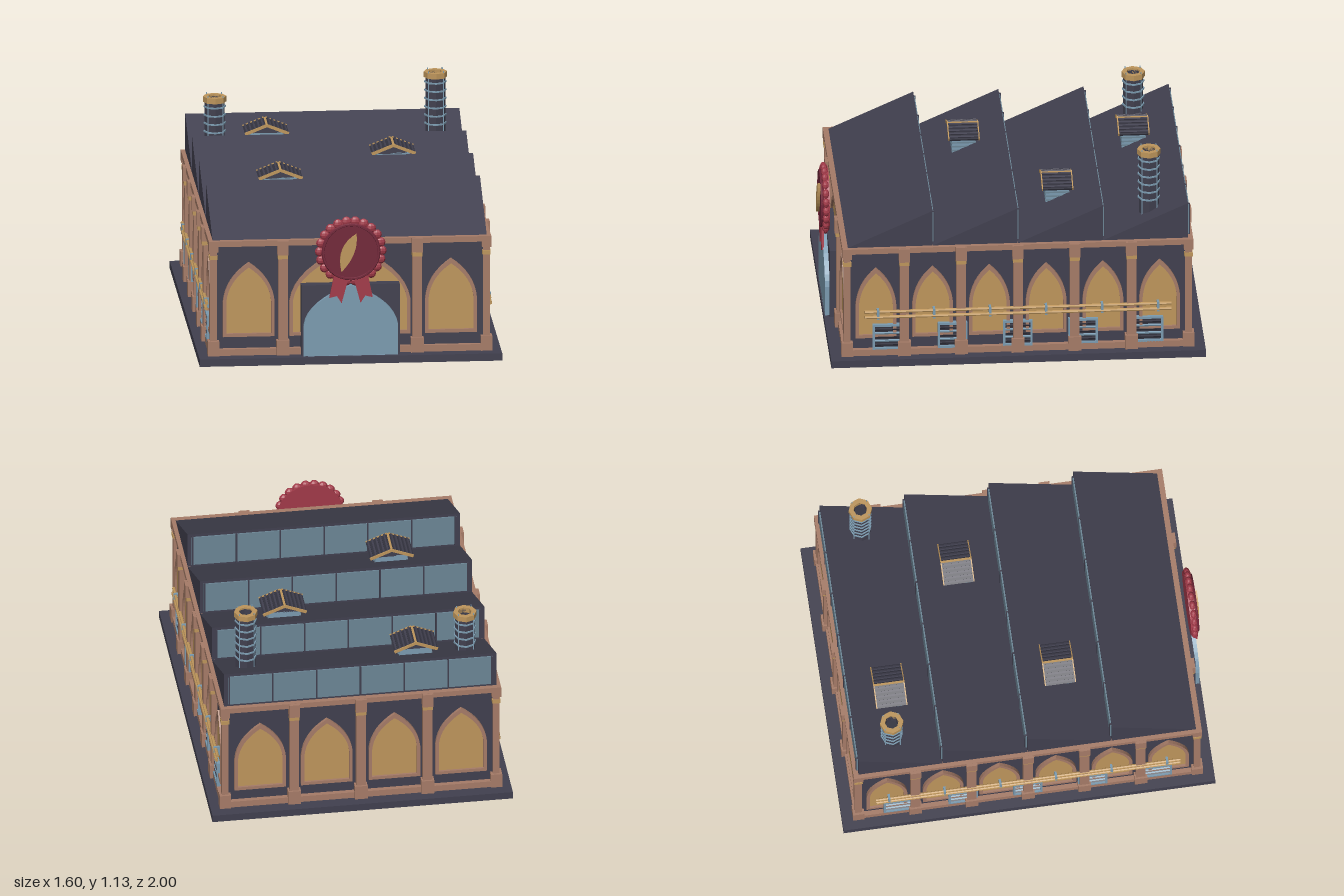
import * as THREE from 'three';

const mat = (name, color, side = THREE.FrontSide) => {
  const m = new THREE.MeshStandardMaterial({ color, side, flatShading: true });
  m.name = name;
  return m;
};

export function createModel() {
  const dark = mat('slate', 0x41404f), trim = mat('brownstone', 0xa67c68);
  const gold = mat('gold', 0xbe965c, THREE.DoubleSide), brown = mat('doorBrown', 0x6a4e3b);
  const blue = mat('blueMetal', 0x7b9bb0), glass = mat('skylightGlass', 0x6c8696);
  const red = mat('ribbonRed', 0xa23a49), wine = mat('wine', 0x722639);
  const black = mat('darkMetal', 0x32323e, THREE.DoubleSide);

  const root = new THREE.Group();
  const add = (parent, name, geo, material, x = 0, y = 0, z = 0) => {
    const m = new THREE.Mesh(geo, material);
    m.name = name;
    m.position.set(x, y, z);
    parent.add(m);
    return m;
  };
  const group = (parent, name) => {
    const g = new THREE.Group();
    g.name = name;
    parent.add(g);
    return g;
  };
  // box given by its size and centre
  const box = (p, name, m, w, h, d, x, y, z) => add(p, name, new THREE.BoxGeometry(w, h, d), m, x, y, z);
  const extrude = (shape, depth) =>
    new THREE.ExtrudeGeometry(shape, { depth, bevelEnabled: false, curveSegments: 8 });

  // pointed arch outline: half width, sill, spring line, apex
  const arch = (hw, y0, ys, y1, Type = THREE.Shape) => {
    const s = new Type();
    s.moveTo(-hw, y0);
    s.lineTo(hw, y0);
    s.lineTo(hw, ys);
    s.quadraticCurveTo(hw * 0.92, ys + (y1 - ys) * 0.6, 0, y1);
    s.quadraticCurveTo(-hw * 0.92, ys + (y1 - ys) * 0.6, -hw, ys);
    return s;
  };
  const archWindow = (p, x, hw, y1, t = 0.018) => {
    const frame = arch(hw, 0.14, 0.33, y1);
    frame.holes.push(arch(hw - t, 0.14 + t, 0.33, y1 - t * 1.5, THREE.Path));
    add(p, 'windowFrame', extrude(frame, 0.018), trim, x, 0, 0);
    add(p, 'windowPane', new THREE.ShapeGeometry(arch(hw - t, 0.14 + t, 0.33, y1 - t * 1.5), 8), gold, x, 0, 0.006);
  };
  const pilaster = (p, x) => {
    const g = group(p, 'pilaster');
    box(g, 'pilasterPlinth', trim, 0.068, 0.08, 0.044, x, 0.08, 0.02);
    box(g, 'pilasterShaft', trim, 0.05, 0.52, 0.034, x, 0.38, 0.015);
    box(g, 'pilasterBand', gold, 0.054, 0.02, 0.04, x, 0.575, 0.018);
    box(g, 'pilasterHead', trim, 0.058, 0.077, 0.046, x, 0.6255, 0.02);
  };

  // foundation slab and body
  const zc = -0.01, hw = 0.72, hd = 0.9;
  box(root, 'foundation', dark, 1.6, 0.04, 1.98, 0, 0.02, zc);
  box(root, 'walls', dark, hw * 2, 0.62, hd * 2, 0, 0.35, zc);

  // each wall is dressed in its own frame: x along the wall, z outward
  const wall = (name, angle, dist, half, windows, pilasters) => {
    const g = group(root, name);
    g.rotation.y = angle;
    g.position.set(Math.sin(angle) * dist, 0, zc + Math.cos(angle) * dist);
    box(g, 'skirting', trim, half * 2 + 0.04, 0.035, 0.03, 0, 0.0575, 0.01);
    box(g, 'cornice', trim, half * 2 + 0.05, 0.03, 0.036, 0, 0.65, 0.009);
    windows.forEach(([x, w, top]) => archWindow(g, x, w, top));
    pilasters.forEach((x) => pilaster(g, x));
    return g;
  };
  const bay = (x) => [x, 0.137, 0.545];
  const sideBays = [0, 1, 2, 3, 4, 5].map((i) => [-0.75 + 0.3 * i, 0.108, 0.545]);
  const sidePil = [-0.6, -0.3, 0, 0.3, 0.6];
  const Q = Math.PI / 2;
  wall('frontWall', 0, hd, hw, [bay(-0.535), bay(0.535), [0, 0.32, 0.625]], [-0.355, 0.355]);
  wall('backWall', Math.PI, hd, hw, [-0.535, -0.18, 0.18, 0.535].map(bay), [-0.355, 0, 0.355]);
  const sides = [wall('leftWall', Q, hw, hd, sideBays, sidePil), wall('rightWall', -Q, hw, hd, sideBays, sidePil)];

  // corner columns
  for (const sx of [-1, 1]) for (const sz of [-1, 1]) {
    const g = group(root, 'cornerColumn');
    g.position.set(sx * 0.722, 0, zc + sz * 0.902);
    box(g, 'cornerPlinth', trim, 0.06, 0.08, 0.06, 0, 0.08, 0);
    box(g, 'cornerShaft', trim, 0.035, 0.53, 0.035, 0, 0.375, 0);
    box(g, 'cornerBand', gold, 0.044, 0.022, 0.044, 0, 0.575, 0);
    box(g, 'cornerHead', trim, 0.05, 0.06, 0.05, 0, 0.635, 0);
  }

  // pipes, clamps and louvred wall vents along both sides
  for (const g of sides) {
    for (const y of [0.297, 0.268]) {
      const geo = new THREE.CylinderGeometry(0.009, 0.009, 1.62, 8).rotateZ(Q);
      add(g, 'wallPipe', geo, gold, 0, y, 0.028 + (y < 0.28 ? 0.004 : 0));
    }
    for (let i = 0; i < 6; i++)
      box(g, 'pipeClamp', blue, 0.012, 0.055, 0.034, -0.74 + 0.296 * i, 0.282, 0.022);
    for (let i = -2; i <= 2; i++) {
      const v = group(g, 'wallVent');
      v.position.set(0.345 * i, 0.145, 0);
      box(v, 'ventBack', black, 0.15, 0.14, 0.012, 0, 0, 0.006);
      for (const s of [-1, 1]) {
        box(v, 'ventSide', blue, 0.012, 0.145, 0.026, s * 0.072, 0, 0.012);
        box(v, 'ventRail', blue, 0.155, 0.012, 0.026, 0, s * 0.067, 0.012);
      }
      for (let k = -2; k <= 2; k++)
        box(v, 'ventSlat', k % 2 ? blue : black, 0.134, 0.009, 0.02, 0, k * 0.022, 0.01).rotation.x = 0.4;
    }
  }

  // sawtooth roof with glazed backs
  for (let i = 0; i < 4; i++) {
    const front = 0.89 - 0.45 * i, back = front - 0.45;
    const tooth = new THREE.Shape();
    tooth.moveTo(-front, 0.655);
    tooth.lineTo(-back, 0.655);
    tooth.lineTo(-back, 0.867);
    tooth.lineTo(-front, 0.664);
    add(root, 'sawtoothRoof', extrude(tooth, 1.45).rotateY(Q), dark, -0.725, 0, 0);
    box(root, 'skylight', glass, 1.41, 0.172, 0.008, 0, 0.765, back - 0.003);
    for (let k = 0; k <= 6; k++)
      box(root, 'skylightBar', dark, 0.008, 0.18, 0.014, -0.7 + k * 1.4 / 6, 0.765, back - 0.004);
  }

  // gabled roof ventilators
  for (const [x, z] of [[-0.317, -0.69], [0.317, -0.242], [-0.317, 0.208]]) {
    const g = group(root, 'roofVentilator');
    g.position.set(x, 0, z);
    box(g, 'ventilatorBody', blue, 0.17, 0.13, 0.125, 0, 0.765, 0);
    for (let k = 0; k < 4; k++)
      for (const s of [-1, 1]) box(g, 'bodySlat', glass, 0.006, 0.008, 0.13, s * 0.086, 0.755 + k * 0.022, 0);
    const gable = new THREE.Shape([[-0.085, 0.825], [0.085, 0.825], [0, 0.862]].map((p) => new THREE.Vector2(...p)));
    add(g, 'ventilatorGable', extrude(gable, 0.125), dark, 0, 0, -0.0625);
    for (const s of [-1, 1]) {
      const slope = group(g, 'ventilatorSlope');
      slope.position.set(s * 0.058, 0.85, 0);
      slope.rotation.z = -s * 0.38;
      box(slope, 'slopePanel', black, 0.122, 0.01, 0.155, 0, 0, 0);
      for (let k = -2; k <= 2; k++) box(slope, 'slopeSlat', dark, 0.01, 0.012, 0.155, k * 0.023, 0.006, 0);
      for (const e of [-1, 1]) box(slope, 'slopeEdge', gold, 0.122, 0.016, 0.006, 0, 0.002, e * 0.08);
    }
    box(g, 'ventilatorRidge', gold, 0.012, 0.01, 0.165, 0, 0.873, 0);
  }

  // hollow chimneys with bands, rods and gold caps
  const ring = (r0, r1, y0, y1) => new THREE.LatheGeometry(
    [[r0, y0], [r1, y0], [r1, y1], [r0, y1], [r0, y0]].map((p) => new THREE.Vector2(...p)), 8);
  for (const [x, top] of [[-0.585, 1.015], [0.582, 1.125]]) {
    const g = group(root, 'chimney');
    g.position.set(x, 0, -0.713);
    add(g, 'chimneyStack', ring(0.036, 0.053, 0.7, top - 0.01), dark);
    add(g, 'chimneyFloor', new THREE.CylinderGeometry(0.04, 0.04, 0.02, 8), black, 0, top - 0.08, 0);
    add(g, 'chimneyCap', ring(0.036, 0.062, top - 0.03, top), gold);
    for (let y = top - 0.055; y > 0.8; y -= 0.045)
      add(g, 'chimneyBand', ring(0.05, 0.059, y - 0.004, y + 0.004), blue);
    for (let k = 0; k < 4; k++) {
      const a = Math.PI / 4 + k * Q;
      box(g, 'chimneyRod', blue, 0.005, top - 0.75, 0.005, Math.cos(a) * 0.056, (top + 0.77) / 2, Math.sin(a) * 0.056);
    }
  }

  // entrance block with arched door
  box(root, 'entranceBlock', dark, 0.52, 0.385, 0.06, 0, 0.2325, 0.92);
  add(root, 'door', extrude(arch(0.235, 0.045, 0.21, 0.405), 0.005), brown, 0, 0, 0.95);
  const doorFrame = arch(0.25, 0.045, 0.21, 0.428);
  doorFrame.holes.push(arch(0.228, 0.044, 0.21, 0.4, THREE.Path));
  add(root, 'doorFrame', extrude(doorFrame, 0.03), blue, 0, 0, 0.945);

  // rosette with scalloped rim, disc, leaf and ribbon tails
  const rosette = group(root, 'rosette');
  rosette.position.set(0, 0.612, 0);
  const disc = (name, r, d, m, z, n = 32) =>
    add(rosette, name, new THREE.CylinderGeometry(r, r, d, n).rotateX(Q), m, 0, 0, z);
  disc('rosetteBack', 0.172, 0.03, red, 0.957);
  for (let i = 0; i < 22; i++) {
    const a = (i / 22) * Math.PI * 2;
    const petal = add(rosette, 'rosettePetal', new THREE.SphereGeometry(0.027, 8, 6), red,
      Math.cos(a) * 0.163, Math.sin(a) * 0.163, 0.962);
    petal.scale.z = 0.7;
  }
  disc('rosetteFace', 0.15, 0.02, wine, 0.974);
  add(rosette, 'rosetteRing', new THREE.TorusGeometry(0.147, 0.009, 6, 32), wine, 0, 0, 0.98);
  const leaf = new THREE.Shape();
  leaf.moveTo(0.028, 0.1);
  leaf.quadraticCurveTo(0.04, -0.01, -0.052, -0.105);
  leaf.quadraticCurveTo(-0.085, 0.03, 0.028, 0.1);
  add(rosette, 'goldLeaf', extrude(leaf, 0.016), gold, 0, 0, 0.984);
  for (const s of [-1, 1]) {
    const pts = [[0.01, -0.13], [0.09, -0.13], [0.115, -0.25], [0.075, -0.24], [0.05, -0.28]];
    const tail = new THREE.Shape(pts.map(([x, y]) => new THREE.Vector2(s * x, y)));
    add(rosette, 'ribbonTail', extrude(tail, 0.012), red, 0, 0, 0.97);
  }
  return root;
}
